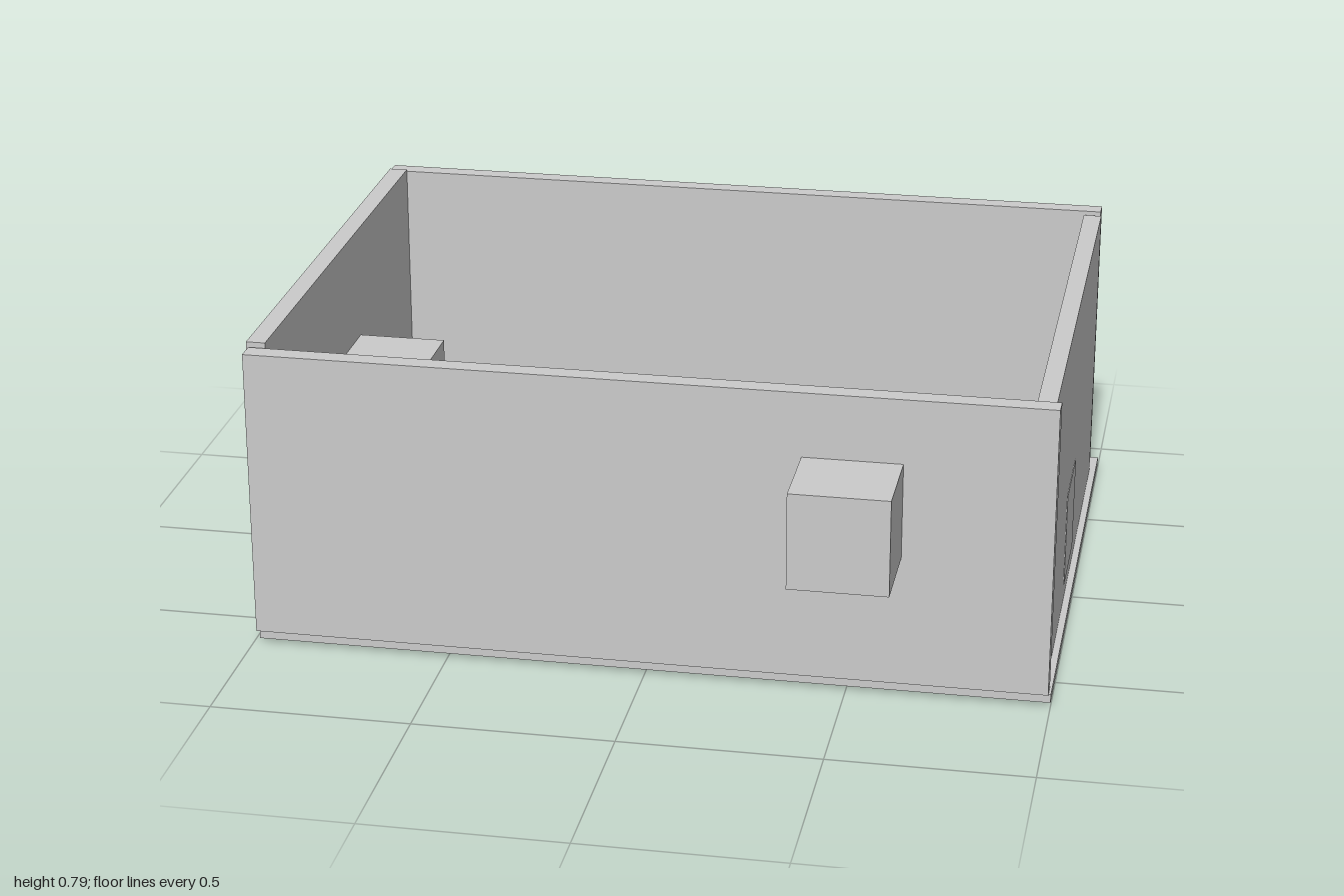
import * as THREE from 'three';

export function createModel() {
  const model = new THREE.Group();
  model.name = 'openBox';
  const material = new THREE.MeshStandardMaterial({ color: 0xcccccc, flatShading: true });

  // Adds a box spanning the given ranges on each axis.
  const addBox = (name, [x0, x1], [y0, y1], [z0, z1]) => {
    const mesh = new THREE.Mesh(new THREE.BoxGeometry(x1 - x0, y1 - y0, z1 - z0), material);
    mesh.position.set((x0 + x1) / 2, (y0 + y1) / 2, (z0 + z1) / 2);
    mesh.name = name;
    model.add(mesh);
  };

  // Floor and four slightly offset walls
  addBox('floorPanel', [-0.985, 1.0], [0.01, 0.032], [-0.86, 0.632]);
  addBox('frontWall', [-0.992, 0.994], [0.032, 0.776], [0.588, 0.638]);
  addBox('backWall', [-1.0, 0.98], [0.037, 0.78], [-0.838, -0.791]);
  addBox('rightWall', [-1.0, -0.952], [0.04, 0.786], [-0.787, 0.578]);
  addBox('leftWall', [0.936, 0.983], [0.032, 0.774], [-0.775, 0.586]);

  // Equal cubes set into the walls and floor, placed by their minimum corner
  const size = 0.245;
  const addCube = (name, ...corner) => addBox(name, ...corner.map((c) => [c, c + size]));
  addCube('frontCube', 0.384, 0.366, 0.615);
  addCube('rightCube', -0.967, 0.245, -0.264);
  addCube('leftCube', 0.74, 0.08, -0.145);
  addCube('floorCube', -0.175, 0, -0.352);

  return model;
}
